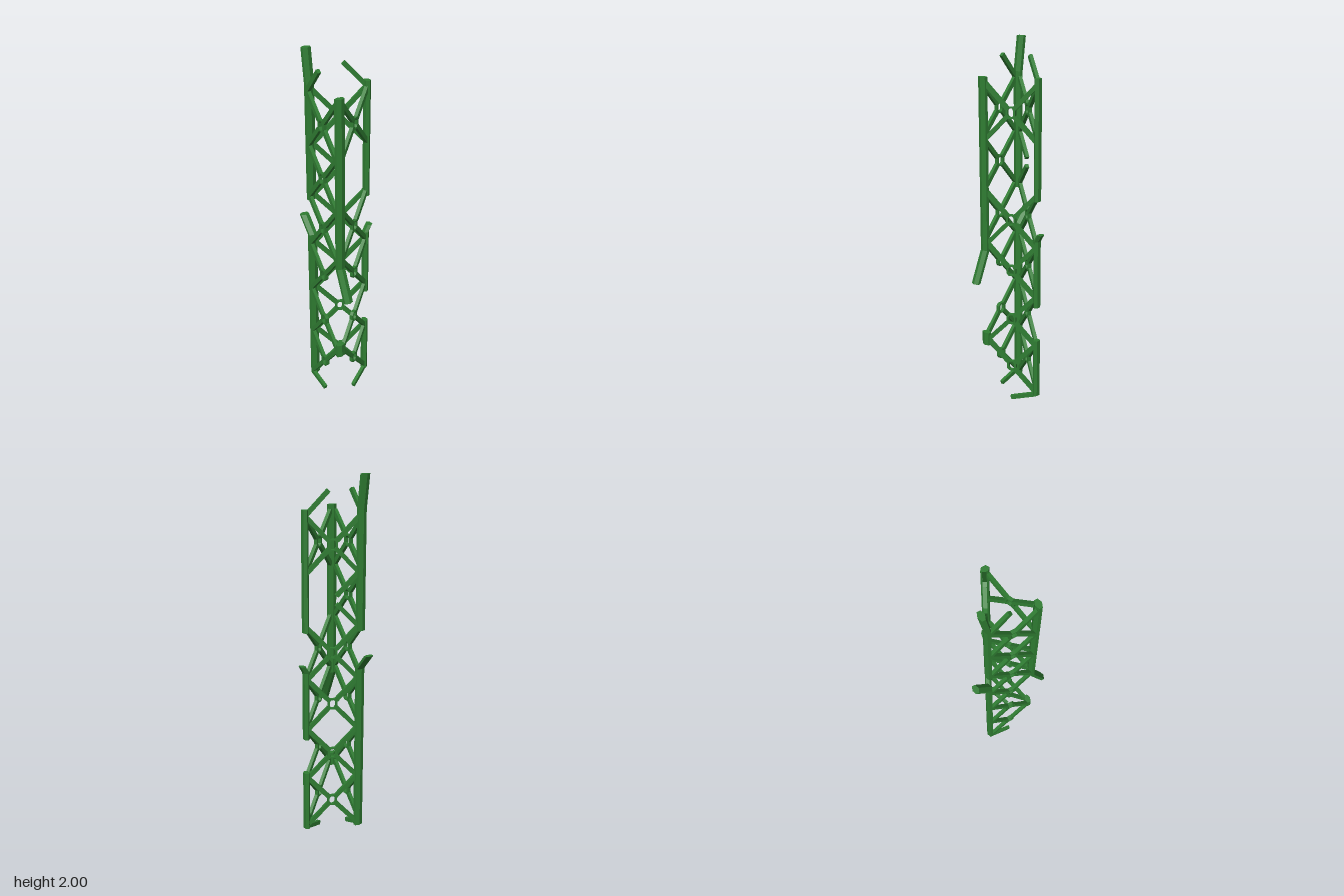
import * as THREE from 'three';

const material = new THREE.MeshStandardMaterial({ color: 0x2f7d32, flatShading: true, side: THREE.DoubleSide });
const V = (x, y, z) => new THREE.Vector3(x, y, z);
const PITCH = 0.286;
const node = (i) => 0.073 + i * PITCH; // heights where braces meet the posts

export function createModel() {
  const group = new THREE.Group();
  const add = (geometry, name) => {
    const mesh = new THREE.Mesh(geometry, material);
    mesh.name = name;
    group.add(mesh);
    return mesh;
  };

  // Six-sided post following a polyline, every cross-section kept level
  function post(name, rx, rz, points) {
    for (let i = 0; i < points.length - 1; i++) {
      const a = points[i], b = points[i + 1], h = b[1] - a[1];
      const geo = new THREE.CylinderGeometry(1, 1, 1, 6).rotateY(Math.PI / 2);
      const p = geo.attributes.position;
      for (let k = 0; k < p.count; k++) {
        const t = p.getY(k) + 0.5;
        p.setXYZ(k, p.getX(k) * rx + a[0] + (b[0] - a[0]) * t,
          a[1] + h * t, p.getZ(k) * rz / 0.866 + a[2] + (b[2] - a[2]) * t);
      }
      geo.computeVertexNormals();
      add(geo, name);
    }
  }

  // Right front post: two lengths, both with a bent broken tip
  post('rightPost', 0.018, 0.024, [[-0.128, 0.05, 0.135], [-0.128, 0.98, 0.135], [-0.204, 1.07, 0.135]]);
  post('rightPost', 0.018, 0.024, [[-0.128, 1.19, 0.135], [-0.128, 1.82, 0.135], [-0.152, 2, 0.135]]);
  // Left front post: a short remnant and an upper length
  post('leftPost', 0.018, 0.024, [[0.128, 0.325, 0.135], [0.128, 0.4, 0.135]]);
  post('leftPost', 0.018, 0.024, [[0.202, 0.715, 0.135], [0.13, 0.89, 0.135], [0.13, 1.82, 0.135]]);
  // Back post: three lengths with gaps
  post('backPost', 0.023, 0.015, [[0, 0.05, -0.125], [0, 0.39, -0.125]]);
  post('backPost', 0.023, 0.015, [[0, 0.59, -0.125], [0, 0.97, -0.125], [0, 1.01, -0.148]]);
  post('backPost', 0.023, 0.015, [[0, 1.19, -0.125], [0, 1.825, -0.125]]);

  // Square bar between two points, thin along the normal of its truss face
  function bar(name, a, b, normal) {
    const dir = b.clone().sub(a);
    const mesh = add(new THREE.BoxGeometry(0.023, dir.length(), 0.019), name);
    const y = dir.normalize();
    const x = y.clone().cross(normal).normalize();
    mesh.quaternion.setFromRotationMatrix(new THREE.Matrix4().makeBasis(x, y, x.clone().cross(y)));
    mesh.position.copy(a).lerp(b, 0.5);
  }

  // Open eight-sided ring at each crossing
  const outline = (w, h, T) => {
    const pts = [[w / 2, -h], [w, -h / 2], [w, h / 2], [w / 2, h], [-w / 2, h], [-w, h / 2], [-w, -h / 2], [-w / 2, -h]];
    return new T(pts.map(([x, y]) => new THREE.Vector2(x, y)));
  };
  const ringShape = outline(0.026, 0.03, THREE.Shape);
  ringShape.holes.push(outline(0.015, 0.023, THREE.Path));
  const ringGeo = new THREE.ExtrudeGeometry(ringShape, { depth: 0.019, bevelEnabled: false }).translate(0, 0, -0.0095);

  // One face of the truss; arms lists per bay: start low, start high, end low, end high
  function face(name, start, end, bays) {
    const u = end.clone().sub(start).normalize();
    const normal = u.clone().cross(V(0, 1, 0));
    const mid = start.clone().lerp(end, 0.5);
    bays.forEach((arms, i) => {
      if (arms === '0000') return;
      const cy = node(i) + PITCH / 2;
      if (arms !== '1100') {
        const ring = add(ringGeo, name + 'Ring');
        ring.position.set(mid.x, cy, mid.z);
        ring.quaternion.setFromRotationMatrix(new THREE.Matrix4().makeBasis(u, V(0, 1, 0), normal));
      }
      [...arms].forEach((on, k) => {
        if (on !== '1') return;
        const side = k < 2 ? -1 : 1, up = k % 2;
        const foot = (k < 2 ? start : end).clone().setY(node(i + up));
        const tip = mid.clone().addScaledVector(u, side * 0.02).setY(cy + (up ? 0.021 : -0.021));
        bar(name + 'Brace', foot, tip, normal);
      });
    });
    return normal;
  }

  const R = V(-0.123, 0, 0.149), L = V(0.123, 0, 0.149);
  const sideR = V(-0.125, 0, 0.122), sideL = V(0.125, 0, 0.122);
  const backR = V(-0.006, 0, -0.12), backL = V(0.006, 0, -0.12);
  const nFront = face('front', R, L, ['1101', '1110', '1101', '1111', '1111', '1111']);
  const nRight = face('rightSide', sideR, backR, ['1111', '1111', '1111', '1111', '1100', '1111']);
  const nLeft = face('leftSide', sideL, backL, ['0111', '1011', '0111', '1111', '0000', '1111']);

  // Loose brace ends at the top and bottom
  bar('topFrontStub', V(-0.123, 1.79, 0.149), V(-0.022, 1.915, 0.149), nFront);
  bar('topSideStub', V(-0.006, 1.8, -0.12), V(-0.055, 1.92, -0.018), nRight);
  bar('bottomFrontStub', V(-0.135, 0.06, 0.149), V(-0.002, 0.019, 0.149), nFront);
  bar('bottomSideStub', V(0.004, 0.056, -0.125), V(0.068, 0.013, 0.003), nLeft);
  return group;
}
